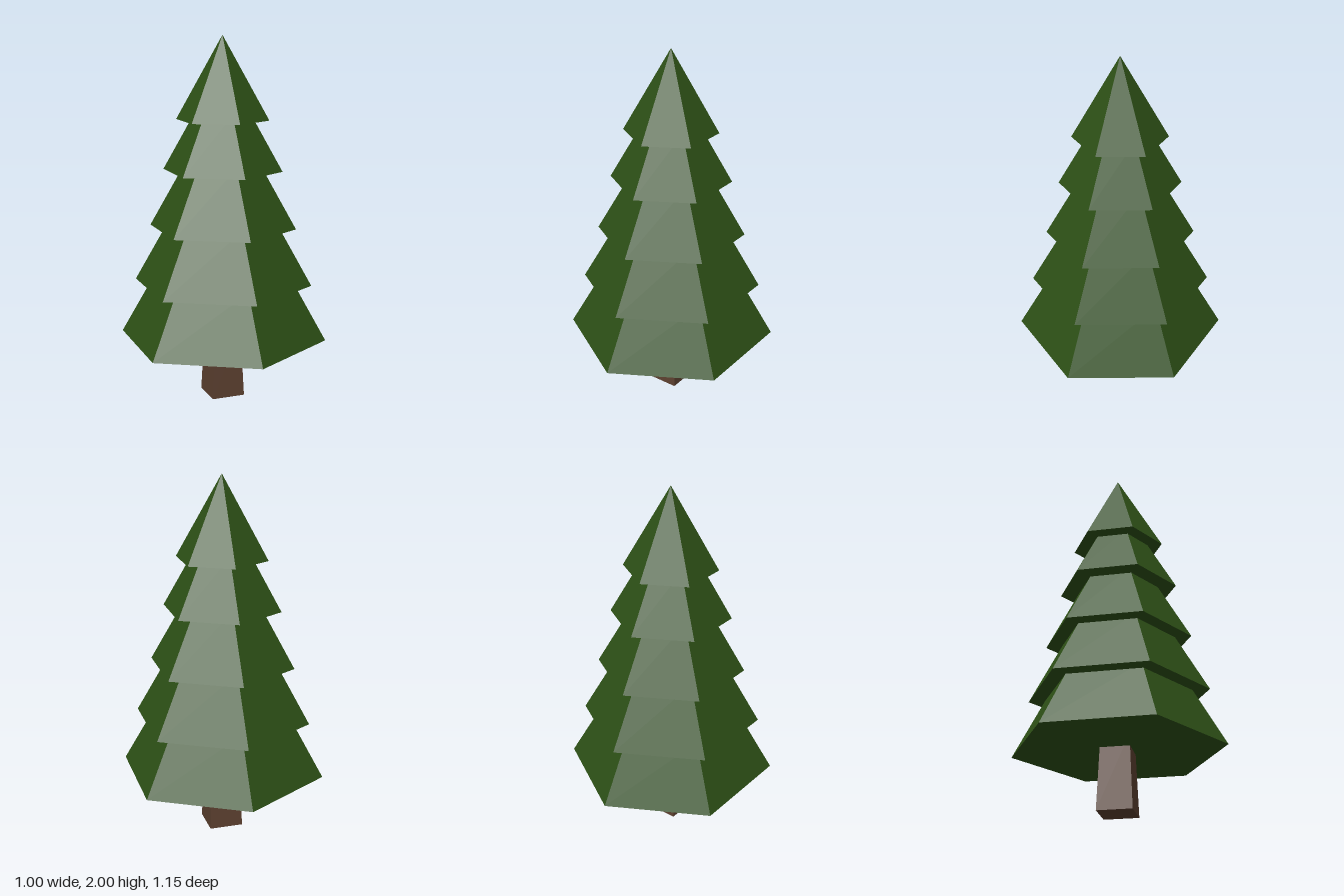
import * as THREE from 'three';

const leafMaterial = new THREE.MeshStandardMaterial({ color: 0x2d5016, flatShading: true });
const barkMaterial = new THREE.MeshStandardMaterial({ color: 0x5c4030, flatShading: true });

// Tapered prism standing on y = base
function taper(name, material, sides, base, top, bottomRadius, topRadius, turn) {
  const geometry = new THREE.CylinderGeometry(topRadius, bottomRadius, top - base, sides, 1, false, turn);
  const mesh = new THREE.Mesh(geometry, material);
  mesh.name = name;
  mesh.position.y = (base + top) / 2;
  return mesh;
}

export function createModel() {
  const tree = new THREE.Group();
  tree.name = 'pineTree';

  // Square trunk, its top sunk into the lowest tier
  tree.add(taper('trunk', barkMaterial, 4, 0, 0.4, 0.094 * Math.SQRT2, 0.077 * Math.SQRT2, Math.PI / 4));

  // Six-sided foliage tiers: [base height, base radius]
  const tiers = [[0.335, 0.577], [0.645, 0.494], [0.96, 0.405], [1.275, 0.328], [1.55, 0.254]];
  const foliage = new THREE.Group();
  foliage.name = 'foliage';
  const slope = 0.565;
  tiers.forEach(([base, radius], i) => {
    const last = i === tiers.length - 1;
    // Each tier ends just inside the one above; the last comes to a point
    const top = last ? 2 : tiers[i + 1][0] + 0.04;
    const topRadius = last ? 0 : radius - slope * (top - base);
    foliage.add(taper(`foliageTier${i + 1}`, leafMaterial, 6, base, top, radius, topRadius, 0));
  });
  tree.add(foliage);

  return tree;
}
